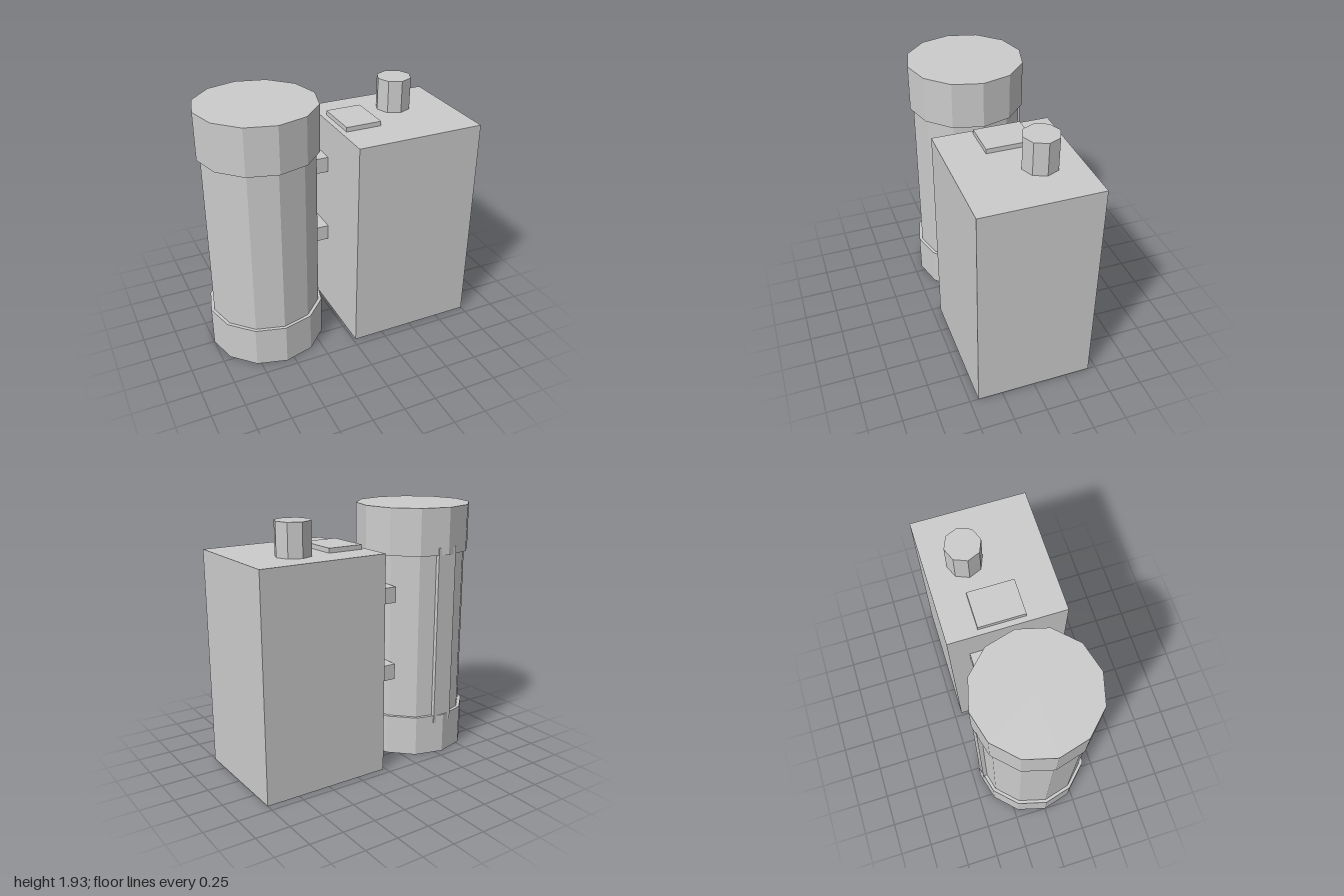
import * as THREE from 'three';

export function createModel() {
  const model = new THREE.Group();
  const grey = new THREE.MeshStandardMaterial({ color: 0xcccccc, flatShading: true });
  grey.name = 'plain grey';

  function add(parent, name, geometry, x, y, z) {
    const mesh = new THREE.Mesh(geometry, grey);
    mesh.name = name;
    mesh.position.set(x, y, z);
    parent.add(mesh);
  }

  // Upright prism standing between two heights
  function prism(parent, name, radius, sides, x, z, y0, y1) {
    add(parent, name, new THREE.CylinderGeometry(radius, radius, y1 - y0, sides), x, (y0 + y1) / 2, z);
  }

  // Box given by its limits on each axis
  function block(parent, name, [x0, x1], [y0, y1], [z0, z1]) {
    add(parent, name, new THREE.BoxGeometry(x1 - x0, y1 - y0, z1 - z0),
      (x0 + x1) / 2, (y0 + y1) / 2, (z0 + z1) / 2);
  }

  // Twelve-sided tank with wider end caps and a flat strip up its back
  const tank = new THREE.Group();
  tank.name = 'tank';
  const tankX = -0.56;
  prism(tank, 'tankBody', 0.415, 12, tankX, 0, 0.3, 1.6);
  prism(tank, 'tankBottomCap', 0.44, 12, tankX, 0, 0, 0.31);
  prism(tank, 'tankTopCap', 0.44, 12, tankX, 0, 1.58, 1.93);
  block(tank, 'tankBackStrip', [-0.64, -0.48], [0.25, 1.635], [-0.425, -0.3]);
  model.add(tank);

  // Cabinet with a lid plate and an octagonal knob on top
  const cabinet = new THREE.Group();
  cabinet.name = 'cabinet';
  block(cabinet, 'cabinetBody', [0.02, 1], [0, 1.65], [-0.44, 0.435]);
  block(cabinet, 'lidPlate', [0.062, 0.338], [1.64, 1.685], [-0.207, 0.142]);
  prism(cabinet, 'knob', 0.132, 8, 0.59, -0.147, 1.64, 1.895);
  model.add(cabinet);

  // Two connectors between tank and cabinet
  for (const [name, y] of [['lowerConnector', 0.7], ['upperConnector', 1.3]]) {
    block(model, name, [-0.19, 0.03], [y - 0.06, y + 0.06], [-0.29, -0.085]);
  }

  return model;
}
